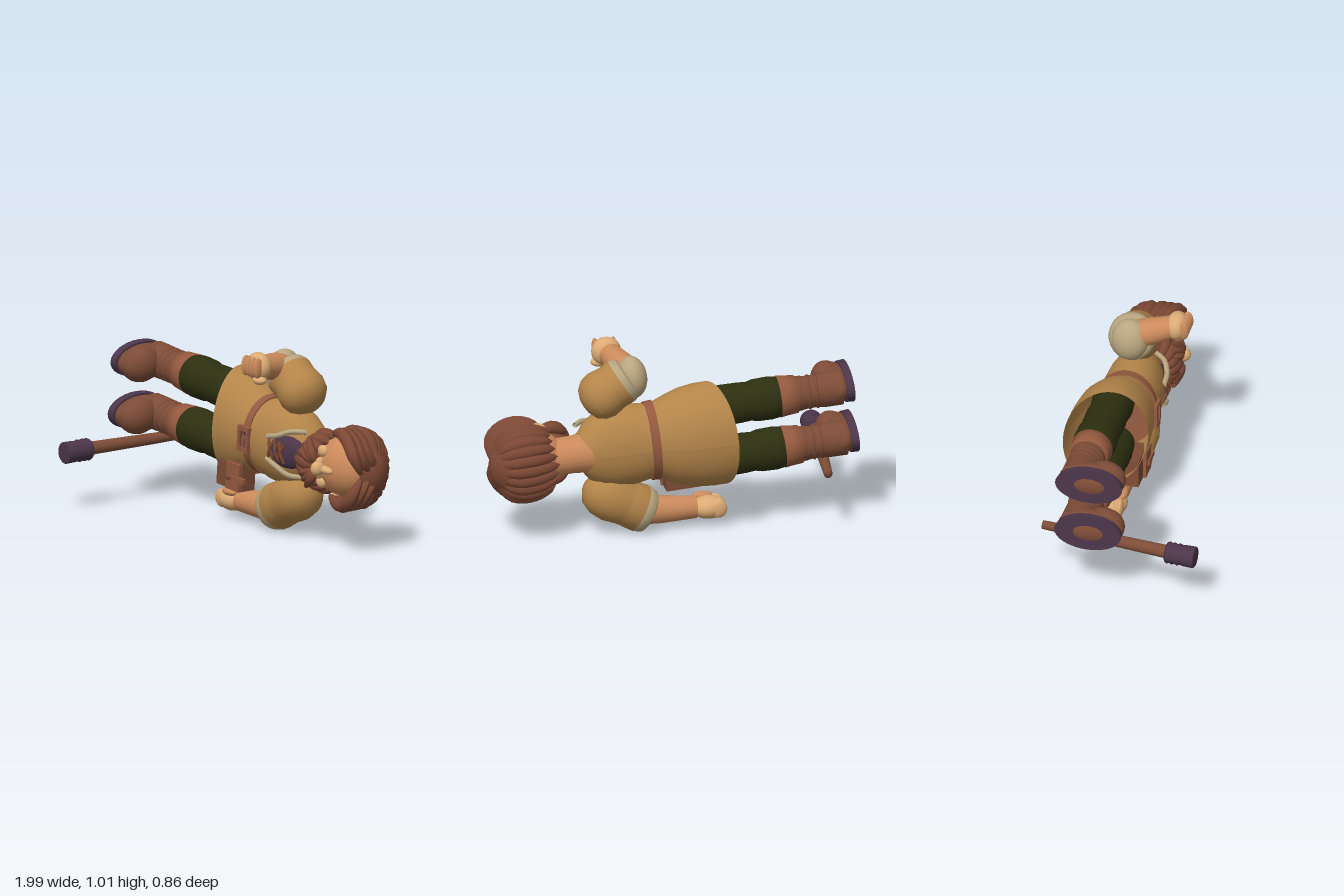
import * as THREE from 'three';

const mat = (name, color, side = THREE.FrontSide) => {
  const m = new THREE.MeshStandardMaterial({ color, side });
  m.name = name;
  return m;
};

export function createModel() {
  const tan = mat('tunic tan', 0xb4854a, THREE.DoubleSide);
  const brown = mat('boot brown', 0x7d4c37);
  const leather = mat('light leather', 0x94593f);
  const hairMat = mat('hair brown', 0x7d4835);
  const green = mat('trouser green', 0x2d2f10);
  const purple = mat('dark purple', 0x4b354a);
  const skin = mat('skin', 0xcb8a5b);
  const paleSkin = mat('pale skin', 0xdcab74);
  const cream = mat('cream linen', 0xb9a680, THREE.DoubleSide);

  const V = (p) => new THREE.Vector3(...p);
  const root = new THREE.Group();
  root.name = 'recliningCraftsman';
  // Upright body frame: y runs from feet to head, then it is laid on its side
  const body = new THREE.Group();
  body.name = 'body';
  body.position.y = 0.525;
  body.rotation.z = -(Math.PI / 2 + 0.085);
  root.add(body);

  const add = (parent, name, geo, m) => {
    const mesh = new THREE.Mesh(geo, m);
    mesh.name = name;
    parent.add(mesh);
    return mesh;
  };
  const ball = (parent, name, m, pos, size, rot = [0, 0, 0]) => {
    const mesh = add(parent, name, new THREE.SphereGeometry(1, 24, 16), m);
    mesh.position.set(...pos);
    mesh.scale.set(...size);
    mesh.rotation.set(...rot);
    return mesh;
  };
  const box = (parent, name, m, pos, size, rot = [0, 0, 0]) => {
    const mesh = add(parent, name, new THREE.BoxGeometry(...size), m);
    mesh.position.set(...pos);
    mesh.rotation.set(...rot);
    return mesh;
  };
  // Turned shape between two points; profile is [fraction, radius]
  const limb = (parent, name, m, from, to, profile) => {
    const a = V(from), d = V(to).sub(a), len = d.length();
    const pts = profile.map(([t, r]) => new THREE.Vector2(r, t * len));
    const mesh = add(parent, name, new THREE.LatheGeometry(pts, 24), m);
    mesh.position.copy(a);
    mesh.quaternion.setFromUnitVectors(new THREE.Vector3(0, 1, 0), d.normalize());
    return mesh;
  };
  // Strand that swells in the middle and tapers to its ends
  const lock = (parent, name, m, pts, r, startWidth = 0.35) => {
    const curve = new THREE.CatmullRomCurve3(pts.map(V)), n = 12;
    const geo = new THREE.TubeGeometry(curve, n, r, 8);
    const pos = geo.attributes.position, v = new THREE.Vector3();
    for (let i = 0; i < pos.count; i++) {
      const t = Math.floor(i / 9) / n;
      const w = t < 0.4 ? startWidth + (1 - startWidth) * Math.sin((t / 0.4) * Math.PI / 2)
        : Math.sqrt(Math.max(0, 1 - ((t - 0.4) / 0.6) ** 2));
      const c = curve.getPointAt(t);
      v.fromBufferAttribute(pos, i).sub(c).multiplyScalar(w).add(c);
      pos.setXYZ(i, v.x, v.y, v.z);
    }
    geo.computeVertexNormals();
    return add(parent, name, geo, m);
  };
  const tube = (parent, name, m, pts, r) =>
    add(parent, name, new THREE.TubeGeometry(new THREE.CatmullRomCurve3(pts.map(V)), 14, r, 8), m);

  // Tunic: elliptical rings [height, half width, half depth, centre z, hem slant]
  const rings = [
    [-0.245, 0.285, 0.213, -0.215, 0.08], [-0.17, 0.285, 0.213, -0.215, 0.06],
    [-0.08, 0.272, 0.207, -0.212, 0.03], [0.01, 0.24, 0.187, -0.2, 0],
    [0.075, 0.208, 0.165, -0.187, 0], [0.12, 0.205, 0.16, -0.183, 0],
    [0.2, 0.222, 0.163, -0.183, 0], [0.3, 0.225, 0.157, -0.183, 0],
    [0.38, 0.205, 0.145, -0.185, 0], [0.45, 0.16, 0.122, -0.19, 0], [0.5, 0.09, 0.09, -0.2, 0],
  ];
  const tunic = new THREE.LatheGeometry(rings.map((r) => new THREE.Vector2(1, r[0])), 40, Math.PI);
  const tp = tunic.attributes.position;
  for (let i = 0; i < tp.count; i++) {
    const [h, rx, rz, cz, slant] = rings[i % rings.length];
    const x = tp.getX(i), z = tp.getZ(i);
    tp.setXYZ(i, x * rx, h + slant * z, cz + z * rz);
  }
  tunic.computeVertexNormals();
  add(body, 'tunic', tunic, tan);

  // Belt and buckle
  const belt = add(body, 'belt', new THREE.CylinderGeometry(0.214, 0.218, 0.045, 40), leather);
  belt.scale.z = 0.79;
  belt.position.set(0, 0.1, -0.185);
  const frame = new THREE.Shape([[-0.07, -0.045], [0.07, -0.045], [0.07, 0.045], [-0.07, 0.045]]
    .map((p) => new THREE.Vector2(...p)));
  frame.holes.push(new THREE.Path([[-0.045, -0.025], [-0.045, 0.025], [0.045, 0.025], [0.045, -0.025]]
    .map((p) => new THREE.Vector2(...p))));
  const buckle = add(body, 'buckle', new THREE.ExtrudeGeometry(frame, { depth: 0.025, bevelEnabled: false }), leather);
  buckle.position.set(0.005, 0.09, -0.03);
  box(body, 'buckleCentre', purple, [0.005, 0.09, -0.02], [0.09, 0.05, 0.01]);
  box(body, 'bucklePin', leather, [0.02, 0.09, -0.012], [0.05, 0.018, 0.012]);

  // Shirt opening, laces and collar trim
  ball(body, 'undershirt', purple, [0, 0.4, -0.07], [0.09, 0.12, 0.04], [-0.25, 0, 0]);
  for (let i = 0; i < 3; i++) for (const s of [-1, 1]) {
    const h = 0.31 + i * 0.045;
    tube(body, 'lace', hairMat, [[-0.055, h - s * 0.022, -0.03], [0, h, -0.018], [0.055, h + s * 0.022, -0.03]], 0.008);
  }
  for (const s of [-1, 1]) {
    tube(body, 'collarTrim', cream, [[s * 0.06, 0.28, -0.025], [s * 0.085, 0.36, -0.028],
      [s * 0.12, 0.43, -0.06], [s * 0.125, 0.49, -0.12]], 0.014);
  }

  // Legs and boots
  for (const s of [-1, 1]) {
    const a = s * 0.143, z = -0.207;
    const side = s > 0 ? 'left' : 'right';
    limb(body, side + 'Trouser', green, [a, -0.62, z], [a, -0.02, z], [[0, 0.09], [0.02, 0.106],
      [0.12, 0.115], [0.25, 0.113], [0.31, 0.104], [0.4, 0.108], [0.55, 0.11], [0.68, 0.104], [0.8, 0.113], [1, 0.1]]);
    limb(body, side + 'BootCuff', leather, [a, -0.69, z], [a, -0.59, z],
      [[0, 0.07], [0.02, 0.102], [0.5, 0.106], [0.96, 0.112], [1, 0.09]]);
    limb(body, side + 'BootShaft', brown, [a, -0.93, z], [a, -0.66, z],
      [[0, 0.095], [0.35, 0.094], [0.5, 0.087], [0.7, 0.088], [1, 0.098]]);
    ball(body, side + 'BootFoot', brown, [a, -0.915, -0.13], [0.096, 0.085, 0.178]);
    ball(body, side + 'BootToe', brown, [a, -0.885, -0.07], [0.098, 0.085, 0.115]);
    for (let i = 0; i < 3; i++) {
      const ring = add(body, side + 'BootLace', new THREE.TorusGeometry(0.086, 0.008, 8, 24), brown);
      ring.rotation.x = Math.PI / 2 + 0.12;
      ring.position.set(a, -0.8 + i * 0.042, z);
    }
    const sole = add(body, side + 'Sole', new THREE.CylinderGeometry(0.97, 1, 0.04, 32), purple);
    sole.scale.set(0.1, 1, 0.182);
    sole.position.set(a, -0.97, -0.132);
  }

  // Sleeve, cuff and forearm shared by both arms
  const arm = (side, shoulder, elbow, foreStart, wrist) => {
    limb(root, side + 'Sleeve', tan, shoulder, elbow, [[-0.32, 0], [-0.3, 0.04], [-0.2, 0.09], [0, 0.123],
      [0.25, 0.134], [0.5, 0.126], [0.6, 0.124], [0.85, 0.128], [1, 0.112]]);
    limb(root, side + 'Cuff', cream, shoulder, elbow, [[0.78, 0.123], [0.9, 0.128], [1.04, 0.117], [1.08, 0.1], [1.06, 0.05]]);
    limb(root, side + 'Forearm', skin, foreStart, wrist, [[0, 0.074], [0.4, 0.074], [1, 0.06]]);
  };
  // Left arm, hanging straight
  arm('left', [0.38, 0.25, -0.19], [0.13, 0.125, -0.19], [0.17, 0.125, -0.19], [-0.14, 0.12, -0.18]);
  ball(root, 'leftHand', paleSkin, [-0.21, 0.115, -0.18], [0.097, 0.062, 0.075]);
  ball(root, 'leftThumb', skin, [-0.185, 0.165, -0.135], [0.055, 0.022, 0.028]);
  for (let i = 0; i < 4; i++) ball(root, 'leftFinger', paleSkin, [-0.255, 0.12, -0.235 + i * 0.034], [0.045, 0.05, 0.02]);
  // Right arm, bent forward at the elbow
  arm('right', [0.41, 0.77, -0.19], [0.24, 0.88, -0.19], [0.22, 0.905, -0.18], [0.285, 0.945, 0.02]);
  ball(root, 'rightElbow', cream, [0.205, 0.885, -0.19], [0.08, 0.115, 0.1], [0, 0, -0.15]);
  ball(root, 'rightHand', paleSkin, [0.295, 0.95, 0.045], [0.08, 0.077, 0.06]);
  ball(root, 'rightThumb', paleSkin, [0.33, 0.885, 0.065], [0.045, 0.025, 0.034]);
  for (let i = 0; i < 4; i++) ball(root, 'rightFinger', skin, [0.247 + i * 0.033, 0.955, 0.09], [0.018, 0.055, 0.03]);

  // Head
  limb(body, 'neck', skin, [0, 0.44, -0.21], [0, 0.68, -0.21], [[0, 0.11], [0.4, 0.1], [1, 0.1]]);
  ball(body, 'head', skin, [0, 0.76, -0.195], [0.165, 0.19, 0.15]);
  ball(body, 'noseTip', paleSkin, [0, 0.72, -0.025], [0.042, 0.034, 0.042]);
  ball(body, 'noseBridge', paleSkin, [0, 0.76, -0.045], [0.022, 0.055, 0.028]);
  for (const s of [-1, 1]) {
    ball(body, 'nostril', paleSkin, [s * 0.034, 0.715, -0.04], [0.024, 0.022, 0.025]);
    ball(body, 'cheek', paleSkin, [s * 0.085, 0.7, -0.07], [0.032, 0.035, 0.025]);
    ball(body, 'ear', paleSkin, [s * 0.168, 0.715, -0.19], [0.028, 0.055, 0.04]);
  }

  // Beard and moustache strands
  ball(body, 'beardBase', hairMat, [0, 0.62, -0.12], [0.12, 0.1, 0.085]);
  for (let i = -4; i <= 4; i++) {
    const t = i / 4, q = Math.abs(t), c = t * 1.3;
    const x = 0.15 * Math.sin(c), z = -0.19 + 0.145 * Math.cos(c);
    lock(body, 'beardStrand', hairMat, [[x, 0.69, z - 0.01], [x * 0.98, 0.61, z + 0.01],
      [x * 0.65, 0.49 + q * 0.05, z * 0.7 - 0.02]], 0.036);
  }
  for (const s of [-1, 1]) for (let i = 0; i < 3; i++) {
    lock(body, 'moustacheStrand', hairMat, [[s * 0.012, 0.69 - i * 0.012, -0.04],
      [s * (0.06 - i * 0.012), 0.675 - i * 0.015, -0.022], [s * (0.14 - i * 0.035), 0.59 - i * 0.02, -0.05 + i * 0.008]], 0.025);
  }

  // Hair: crown, hanging locks round the back, and swept side locks
  ball(body, 'hairCrown', hairMat, [0, 0.81, -0.235], [0.178, 0.178, 0.138]);
  for (let i = -5; i <= 5; i++) {
    const c = (i / 5) * 1.45, x = Math.sin(c), z = Math.cos(c);
    lock(body, 'backLock', hairMat, [[x * 0.1, 0.95, -0.225 - z * 0.06], [x * 0.175, 0.86, -0.22 - z * 0.125],
      [x * 0.185, 0.75, -0.22 - z * 0.13], [x * 0.16, 0.62 + 0.03 * Math.abs(x), -0.22 - z * 0.1]], 0.04);
  }
  for (const s of [-1, 1]) for (let i = 0; i < 3; i++) {
    lock(body, 'sideLock', hairMat, [[s * 0.015, 0.955 - i * 0.005, -0.13 - i * 0.06],
      [s * 0.1, 0.945, -0.09 - i * 0.045], [s * 0.175, 0.87, -0.1 - i * 0.04],
      [s * (0.195 - i * 0.004), 0.78, -0.12 - i * 0.035], [s * 0.165, 0.68, -0.14 - i * 0.04]], 0.038);
  }

  // Belt pouch
  const pouch = new THREE.Group();
  pouch.name = 'pouch';
  pouch.position.set(-0.075, 0.29, -0.1);
  pouch.rotation.z = -0.085;
  root.add(pouch);
  box(pouch, 'pouchBag', brown, [-0.01, 0, 0], [0.2, 0.155, 0.1]);
  box(pouch, 'pouchFlap', leather, [0.045, 0, 0.055], [0.11, 0.15, 0.025]);
  box(pouch, 'pouchStrap', leather, [0.08, -0.005, 0.065], [0.13, 0.028, 0.02]);
  ball(pouch, 'pouchButton', brown, [0.02, -0.005, 0.075], [0.016, 0.016, 0.012]);

  // Mallet lying beside the left boot
  limb(root, 'malletHandle', brown, [-0.805, 0.343, -0.42], [-0.88, 0.33, 0.29],
    [[0, 0], [0, 0.023], [0.4, 0.03], [1, 0.036]]);
  limb(root, 'malletHead', purple, [-0.878, 0.328, 0.268], [-0.888, 0.325, 0.428],
    [[0, 0], [0, 0.053], [0.07, 0.06], [0.14, 0.053], [0.23, 0.06], [0.32, 0.053], [0.42, 0.06],
      [0.52, 0.053], [0.6, 0.057], [0.97, 0.058], [1, 0.052], [1, 0]]);
  return root;
}
